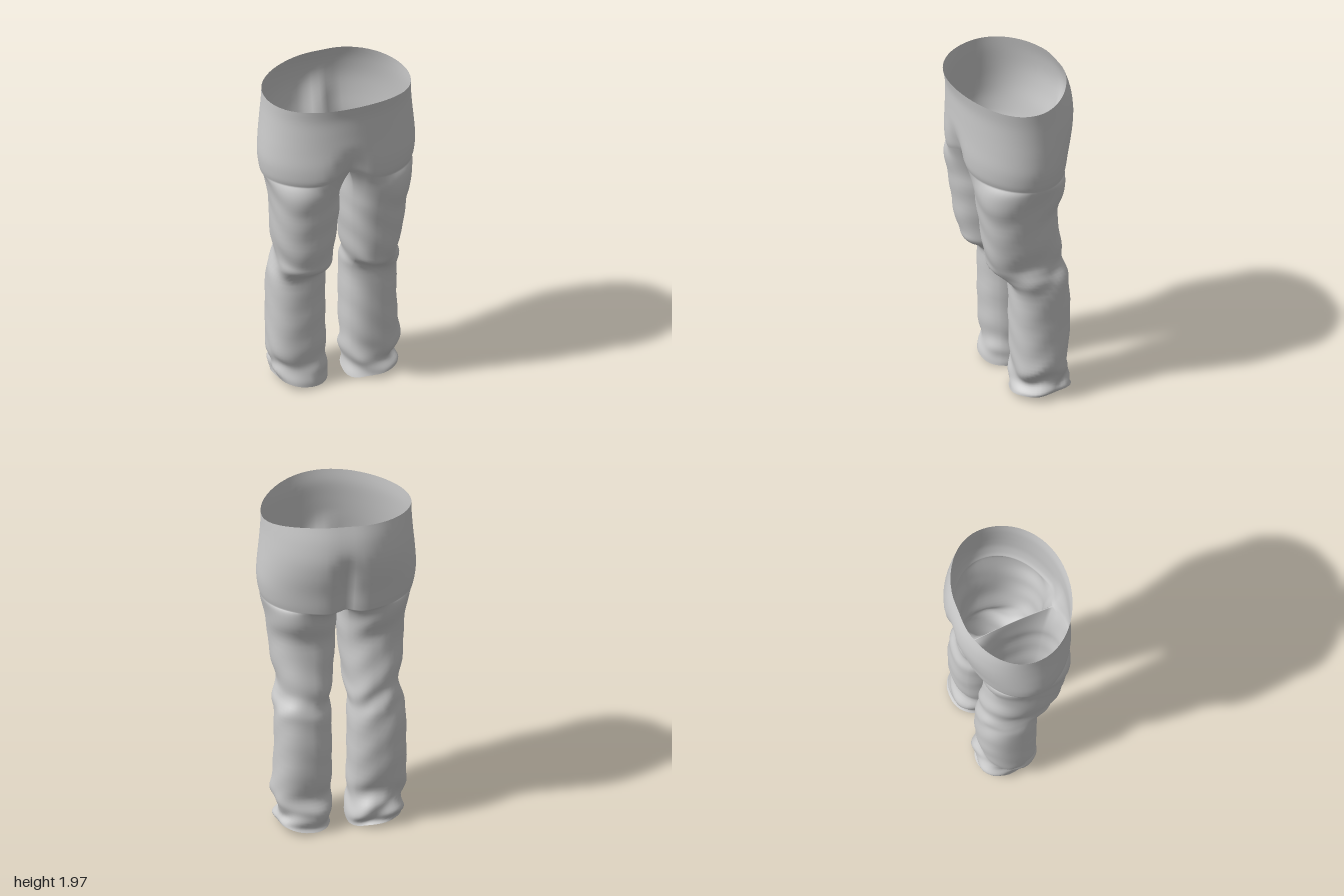
import * as THREE from 'three';
import { mergeGeometries, mergeVertices } from 'three/addons/utils/BufferGeometryUtils.js';

const HALF = 32;          // segments around half of the hips
const INNER = 18;         // segments across the inside of each leg
const { lerp, smoothstep, clamp } = THREE.MathUtils;
const bell = (v, w) => Math.exp(-((v / w) ** 2));

// hips, waist to thigh: fraction down, half width, front depth, back depth
const HIPS = [
  [0.0, 0.420, 0.340, 0.305], [0.16, 0.422, 0.325, 0.335], [0.36, 0.430, 0.322, 0.350],
  [0.56, 0.440, 0.322, 0.338], [0.76, 0.446, 0.325, 0.312], [0.92, 0.438, 0.320, 0.298],
  [1.0, 0.428, 0.308, 0.290],
];

// legs: height, front z, back z, right inner x, right outer x, left inner x, left outer x, blend from hips
const LEGS = [
  [1.40, 0.285, -0.25, 0.004, 0.405, 0.004, 0.425, 0],
  [1.39, 0.283, -0.245, 0.004, 0.402, 0.004, 0.42, 0.45],
  [1.36, 0.278, -0.238, 0.004, 0.398, 0.004, 0.412, 0.8],
  [1.30, 0.266, -0.225, 0.004, 0.39, 0.004, 0.40, 1],
  [1.18, 0.245, -0.195, 0.006, 0.38, 0.006, 0.38, 1],
  [1.02, 0.225, -0.215, 0.02, 0.37, 0.02, 0.367, 1],
  [0.90, 0.205, -0.235, 0.03, 0.345, 0.035, 0.342, 1],
  [0.84, 0.185, -0.245, 0.035, 0.345, 0.042, 0.35, 1],
  [0.78, 0.115, -0.252, 0.04, 0.355, 0.05, 0.372, 1],
  [0.70, 0.075, -0.262, 0.042, 0.368, 0.052, 0.37, 1],
  [0.50, 0.07, -0.268, 0.042, 0.37, 0.05, 0.368, 1],
  [0.32, 0.066, -0.255, 0.04, 0.372, 0.05, 0.378, 1],
  [0.22, 0.062, -0.235, 0.034, 0.372, 0.05, 0.39, 1],
  [0.15, 0.07, -0.272, 0.03, 0.352, 0.05, 0.362, 1],
  [0.10, 0.066, -0.282, 0.028, 0.36, 0.055, 0.352, 1],
  [0.06, 0.075, -0.262, 0.022, 0.345, 0.055, 0.375, 1],
  [0.04, 0.08, -0.27, 0.022, 0.34, 0.055, 0.37, 1],
];

// smooth interpolation between table rows
function refine(table, steps) {
  const out = [];
  const at = (i) => table[clamp(i, 0, table.length - 1)];
  for (let i = 0; i < table.length - 1; i++) {
    for (let s = 0; s < steps; s++) {
      const t = s / steps;
      out.push(at(i).map((p, c) => {
        const m0 = (at(i + 1)[c] - at(i - 1)[c]) / 2, m1 = (at(i + 2)[c] - p) / 2, q = at(i + 1)[c];
        return p + m0 * t + (3 * (q - p) - 2 * m0 - m1) * t * t + (2 * (p - q) + m0 + m1) * t ** 3;
      }));
    }
  }
  out.push(at(table.length - 1));
  return out;
}

// skin over closed rings listed from top to bottom
function loft(rings, flip) {
  const n = rings[0].length, index = [];
  for (let j = 0; j < rings.length - 1; j++) {
    for (let k = 0; k < n; k++) {
      const k1 = (k + 1) % n;
      const a = j * n + k, b = a + n, c = (j + 1) * n + k1, d = j * n + k1;
      if (flip) index.push(a, c, b, a, d, c);
      else index.push(a, b, c, a, c, d);
    }
  }
  const g = new THREE.BufferGeometry();
  g.setAttribute('position', new THREE.Float32BufferAttribute(rings.flat().flat(), 3));
  g.setIndex(index);
  return g;
}

// point on the hips; theta runs from the front centre towards the left
function hipPoint([t, a, front, back], theta) {
  const c = Math.cos(theta), x = a * Math.sin(theta);
  const top = 1.963 + 0.02 * Math.cos(2 * theta) + 0.007 * Math.sin(3 * theta + 0.5);
  const bottom = 1.44 + 0.02 * c + (c > 0 ? 0.065 * bell(x, 0.13) : 0);
  const y = lerp(top, bottom, t);
  let z = c * (c > 0 ? front : back);
  // front crease and back cleft
  if (c > 0) z -= 0.05 * bell(x, 0.07) * (1 - smoothstep(y, 1.5, 1.74));
  else z += 0.045 * bell(x, 0.05) * (1 - smoothstep(y, 1.62, 1.86)) + 0.008 * bell(x, 0.08);
  return [x, y, z];
}

function hips() {
  const rings = refine(HIPS, 4).map((row) =>
    Array.from({ length: 2 * HALF }, (_, k) => hipPoint(row, (k * Math.PI) / HALF)));
  return loft(rings, false);
}

// leg opening: half of the hip edge, closed by the crotch strip
function legOpening(side) {
  const edge = HIPS[HIPS.length - 1], ring = [];
  for (let k = 0; k <= HALF; k++) ring.push(hipPoint(edge, (side * k * Math.PI) / HALF));
  const front = ring[0], back = ring[HALF];
  for (let k = 1; k < INNER; k++) {
    const t = k / INNER;
    ring.push([0, lerp(back[1], front[1], t) + 0.02 * Math.sin(Math.PI * t), lerp(back[2], front[2], t)]);
  }
  return ring;
}

function leg(side) {
  const opening = legOpening(side), corner = 0.87;
  const pow = (v) => Math.sign(v) * Math.abs(v) ** 0.84;
  const rings = refine(LEGS, 4).map((row) => {
    const [y, front, back, ri, ro, li, lo, blend] = row;
    const inner = side > 0 ? li : ri, outer = side > 0 ? lo : ro;
    const b = clamp(blend, 0, 1);
    return opening.map((start, k) => {
      const phi = k <= HALF
        ? lerp(-corner, Math.PI + corner, k / HALF)
        : lerp(Math.PI + corner, 2 * Math.PI - corner, (k - HALF) / INNER);
      const s = Math.sin(phi), c = Math.cos(phi);
      // slanting cloth folds, strongest at the knee and the hem
      const amp = 0.012 + 0.03 * bell(y - 0.8, 0.09) + 0.05 * bell(y - 0.12, 0.1);
      const fold = 1 - amp * (1 + Math.sin(y * 34 + 2.2 * c + side * s * 1.5 + 2 * Math.sin(phi * 2)));
      const x = (inner + outer) / 2 + ((outer - inner) / 2) * pow(s) * fold;
      const z = (front + back) / 2 + ((front - back) / 2) * pow(c) * fold;
      const hem = clamp(1 - y / 0.22, 0, 1);
      const yy = y + hem * (0.025 * s + 0.007 * Math.sin(3 * phi + side));
      return [lerp(start[0], side * x, b), lerp(start[1], yy, b), lerp(start[2], z, b)];
    });
  });
  return loft(rings, side < 0);
}

export function createModel() {
  const group = new THREE.Group();
  group.name = 'trousers';
  // hips and both legs are welded into one continuous cloth
  const geometry = mergeVertices(mergeGeometries([hips(), leg(1), leg(-1)]), 1e-4);
  geometry.computeVertexNormals();
  const cloth = new THREE.Mesh(geometry,
    new THREE.MeshStandardMaterial({ color: 0xcccccc, side: THREE.DoubleSide }));
  cloth.name = 'trouserCloth';
  group.add(cloth);
  return group;
}
